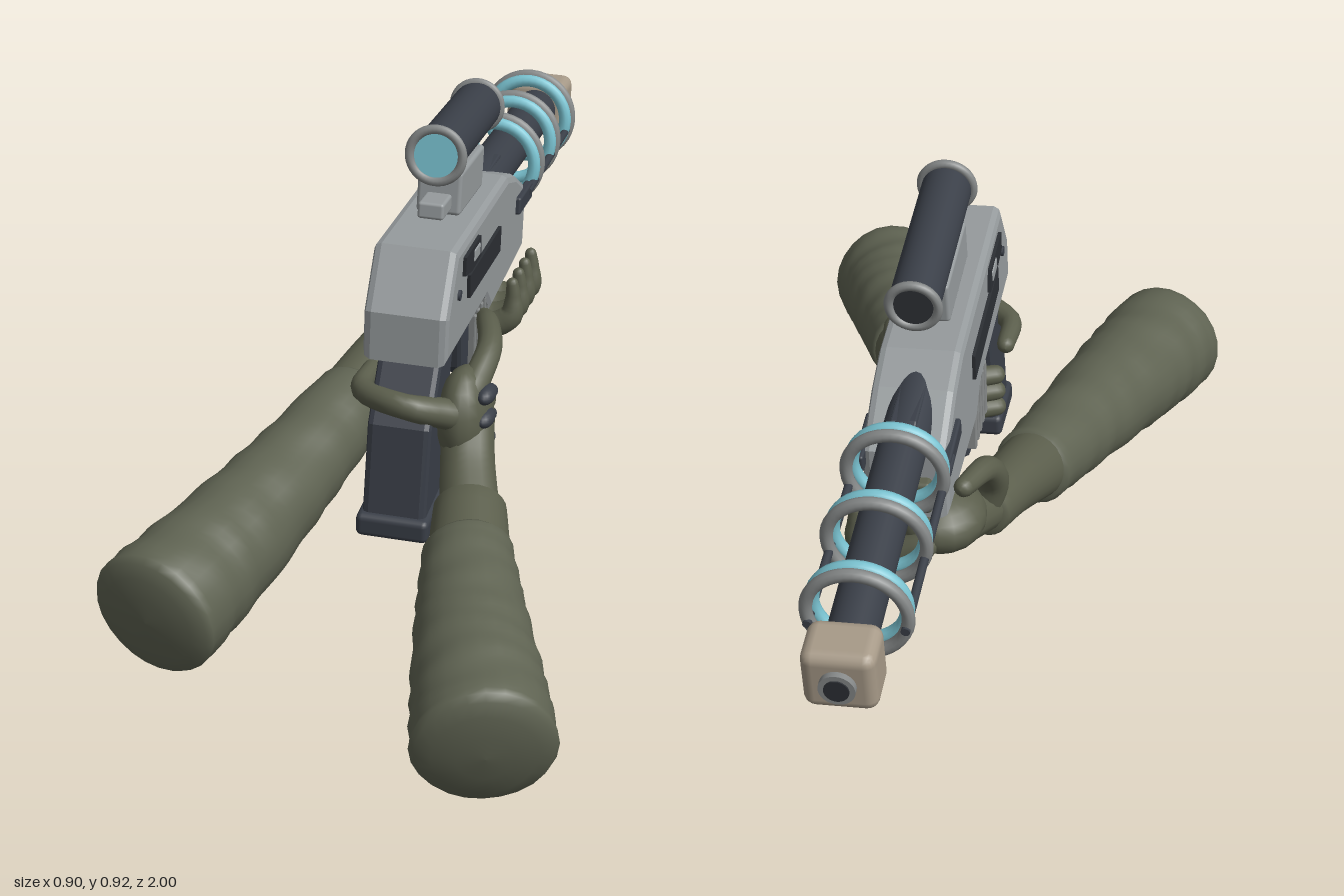
import * as THREE from 'three';
import { RoundedBoxGeometry } from 'three/addons/geometries/RoundedBoxGeometry.js';

const mat = (name, color) => {
  const m = new THREE.MeshStandardMaterial({ color });
  m.name = name;
  return m;
};
const V = (p) => new THREE.Vector3(...p);

export function createModel() {
  const casing = mat('casing grey', 0x969b9d);
  const ringGrey = mat('ring grey', 0x858888);
  const dark = mat('dark blue grey', 0x3a3f48);
  const black = mat('panel black', 0x2c2f34);
  const cyan = mat('cyan', 0x7ac3d1);
  const tan = mat('tan', 0xa79a88);
  const sleeve = mat('sleeve olive', 0x5f6352);
  const glove = mat('glove olive', 0x5b5e4c);

  const model = new THREE.Group();
  const gun = new THREE.Group();
  gun.name = 'gun';
  gun.position.x = -0.004;
  gun.rotation.set(0, 0.042, -0.04);
  model.add(gun);

  const add = (parent, name, geo, material, pos = [0, 0, 0], pitch = 0) => {
    const m = new THREE.Mesh(geo, material);
    m.name = name;
    m.position.set(...pos);
    m.rotation.x = pitch;
    parent.add(m);
    return m;
  };

  // Side profile of [z, y] points, extruded symmetrically across x
  const slab = (name, pts, width, bevel, material, x = 0) => {
    const shape = new THREE.Shape(pts.map(([z, y]) => new THREE.Vector2(z, y)));
    const depth = width - 2 * bevel;
    const g = new THREE.ExtrudeGeometry(shape, {
      depth, bevelEnabled: bevel > 0, bevelSize: bevel, bevelThickness: bevel,
      bevelOffset: -bevel, bevelSegments: 2,
    });
    g.translate(0, 0, -depth / 2).rotateY(-Math.PI / 2);
    return add(gun, name, g, material, [x, 0, 0]);
  };
  const box = (name, w, h, d, r, material, pos, pitch = 0) =>
    add(gun, name, new RoundedBoxGeometry(w, h, d, 2, r), material, pos, pitch);

  // Cylinder between two points
  const rod = (name, a, b, r, material, open = false) => {
    const d = V(b).sub(V(a));
    const m = add(gun, name, new THREE.CylinderGeometry(r, r, d.length(), 28, 1, open), material);
    m.position.copy(V(a)).addScaledVector(d, 0.5);
    m.quaternion.setFromUnitVectors(new THREE.Vector3(0, 1, 0), d.normalize());
    return m;
  };
  const PITCH = -0.092; // the barrel dips toward -z
  const ring = (name, R, r, material, pos) =>
    add(gun, name, new THREE.TorusGeometry(R, r, 10, 40), material, pos, PITCH);

  // Receiver
  slab('receiver', [[0.367, 0.635], [0.297, 0.742], [-0.174, 0.71], [-0.26, 0.68], [-0.375, 0.615],
    [-0.375, 0.475], [-0.05, 0.473], [0.0, 0.52], [0.367, 0.54]], 0.158, 0.015, casing);
  for (const s of [-1, 1]) {
    const side = s > 0 ? 'left' : 'right';
    slab(side + 'UpperPanel', [[0.25, 0.712], [0.12, 0.705], [0.11, 0.66], [0.19, 0.662], [0.25, 0.675]], 0.009, 0, black, s * 0.081);
    slab(side + 'LowerPanel', [[0.205, 0.658], [-0.085, 0.64], [-0.085, 0.588], [0.2, 0.61]], 0.009, 0, black, s * 0.081);
    box(side + 'Bolt', 0.014, 0.025, 0.05, 0.004, casing, [s * 0.081, 0.685, 0.155], PITCH);
    const pin = add(gun, side + 'Pin', new THREE.CylinderGeometry(0.01, 0.01, 0.006, 12), dark, [s * 0.081, 0.65, 0.28]);
    pin.rotation.z = Math.PI / 2;
    // Cage rods and their roots beside the barrel
    box(side + 'RodRoot', 0.018, 0.036, 0.13, 0.005, dark, [s * 0.08, 0.603, -0.33], PITCH);
    rod(side + 'CageRod', [s * 0.085, 0.605, -0.36], [s * 0.085, 0.575, -0.83], 0.008, dark);
  }

  // Barrel with coil rings
  rod('barrel', [0, 0.65, -0.2], [0, 0.582, -0.9], 0.045, dark);
  slab('barrelRib', [[-0.24, 0.685], [-0.36, 0.678], [-0.42, 0.65], [-0.42, 0.6], [-0.24, 0.61]], 0.05, 0.004, dark);
  [-0.43, -0.61, -0.79].forEach((z, i) => {
    const y = 0.631 + (z + 0.43) * 0.09;
    ring('cyanCoil' + i, 0.083, 0.013, cyan, [0, y, z]);
    ring('greyCoil' + i, 0.089, 0.012, ringGrey, [0, y - 0.002, z - 0.026]);
  });
  box('muzzleBlock', 0.13, 0.122, 0.1, 0.022, tan, [0, 0.582, -0.933], PITCH);
  rod('muzzleTip', [0, 0.579, -0.97], [0, 0.577, -0.995], 0.032, ringGrey);
  rod('muzzleBore', [0, 0.578, -0.98], [0, 0.577, -0.998], 0.022, black);

  // Scope
  rod('scopeTube', [0, 0.866, 0.15], [0, 0.832, -0.215], 0.048, dark);
  const scopeEnds = [[0.155, 0.867, 0.05], [-0.218, 0.832, 0.046]];
  scopeEnds.forEach(([z, y, R], i) => ring('scopeRim' + i, R, 0.009, ringGrey, [0, y, z]));
  rod('scopeLens', [0, 0.866, 0.148], [0, 0.867, 0.156], 0.045, cyan);
  rod('scopeEyepiece', [0, 0.832, -0.214], [0, 0.832, -0.218], 0.042, black);
  box('scopeMount', 0.085, 0.085, 0.21, 0.008, casing, [0, 0.768, 0.01], PITCH);
  box('scopeRail', 0.05, 0.032, 0.11, 0.006, casing, [0, 0.762, 0.13], PITCH);

  // Rear grip and its foot
  slab('grip', [[0.31, 0.54], [0.39, 0.42], [0.41, 0.23], [0.28, 0.22], [0.23, 0.42], [0.2, 0.54]], 0.12, 0.012, dark);
  box('gripFoot', 0.138, 0.046, 0.155, 0.012, dark, [0, 0.226, 0.345], 0.04);

  // Magazine with cooling fins
  slab('magazine', [[0.15, 0.53], [-0.05, 0.5], [-0.056, 0.385], [0.05, 0.38], [0.13, 0.43]], 0.125, 0.01, dark);
  for (let i = 0; i < 5; i++) {
    const z = 0.085 - i * 0.03;
    slab('magazineFin' + i, [[z, 0.52], [z - 0.013, 0.52], [z - 0.021, 0.405], [z - 0.008, 0.405]], 0.152, 0.003, ringGrey);
  }
  box('handguardTip', 0.1, 0.07, 0.045, 0.008, glove, [0, 0.53, -0.372], PITCH);

  // Rounded limb along points [x, y, z, radius]
  const limb = (parent, name, pts, material, dome = 1, wrinkle = 0, sides = 14) => {
    const curve = new THREE.CatmullRomCurve3(pts.map((p) => V(p.slice(0, 3))));
    const n = (pts.length - 1) * (wrinkle ? 12 : 5);
    const stations = [];
    const cap = (p, t, r, dir) => {
      const out = [];
      for (let k = 0; k < 4; k++) {
        const a = (k / 4) * Math.PI / 2;
        out.push([p.clone().addScaledVector(t, dir * r * dome * Math.cos(a)), t, Math.max(r * Math.sin(a), 1e-4)]);
      }
      return dir < 0 ? out : out.reverse();
    };
    for (let i = 0; i <= n; i++) {
      const u = i / n, f = u * (pts.length - 1), k = Math.min(Math.floor(f), pts.length - 2);
      const r = THREE.MathUtils.lerp(pts[k][3], pts[k + 1][3], f - k);
      stations.push([curve.getPoint(u), curve.getTangent(u), r]);
    }
    const a = stations[0], b = stations[n];
    const all = [...cap(a[0], a[1], a[2], -1), ...stations, ...cap(b[0], b[1], b[2], 1)];
    let side = Math.abs(a[1].y) > 0.8 ? new THREE.Vector3(1, 0, 0) : new THREE.Vector3(0, 1, 0);
    const pos = [], idx = [];
    all.forEach(([p, t, r], i) => {
      side = side.clone().addScaledVector(t, -side.dot(t)).normalize();
      const bin = t.clone().cross(side);
      for (let j = 0; j < sides; j++) {
        const th = (j / sides) * Math.PI * 2;
        const rr = r * (1 + wrinkle * Math.sin(i * 1.1 + 1.5 * Math.sin(th * 2 + i * 0.3)));
        const q = p.clone().addScaledVector(side, rr * Math.cos(th)).addScaledVector(bin, rr * Math.sin(th));
        pos.push(q.x, q.y, q.z);
        if (i === 0) continue;
        const j2 = (j + 1) % sides, lo = (i - 1) * sides, hi = i * sides;
        idx.push(lo + j, lo + j2, hi + j2, lo + j, hi + j2, hi + j);
      }
    });
    const g = new THREE.BufferGeometry();
    g.setAttribute('position', new THREE.Float32BufferAttribute(pos, 3));
    g.setIndex(idx);
    g.computeVertexNormals();
    return add(parent, name, g, material);
  };
  const blob = (parent, name, pos, scale, material) => {
    const m = add(parent, name, new THREE.SphereGeometry(1, 18, 12), material, pos);
    m.scale.set(...scale);
    return m;
  };

  // Trigger arm (+x)
  const triggerArm = new THREE.Group();
  triggerArm.name = 'triggerArm';
  model.add(triggerArm);
  limb(triggerArm, 'sleeve', [[0.333, 0.128, 0.94, 0.128], [0.285, 0.165, 0.8, 0.116], [0.235, 0.2, 0.65, 0.1],
    [0.19, 0.24, 0.5, 0.083]], sleeve, 0.25, 0.018, 24);
  limb(triggerArm, 'gloveCuff', [[0.2, 0.232, 0.53, 0.08], [0.168, 0.275, 0.4, 0.068]], glove, 0.15, 0, 24);
  limb(triggerArm, 'wrist', [[0.17, 0.275, 0.41, 0.056], [0.145, 0.33, 0.33, 0.052], [0.13, 0.39, 0.27, 0.05]], glove);
  blob(triggerArm, 'palm', [0.125, 0.4, 0.27], [0.052, 0.1, 0.085], glove);
  for (let i = 0; i < 4; i++) {
    const y = 0.455 - i * 0.044, dz = i * 0.008;
    if (i > 0) {
      limb(triggerArm, 'finger' + i, [[0.145, y, 0.26 + dz, 0.025], [0.135, y - 0.005, 0.175 + dz, 0.024],
        [0.07, y - 0.008, 0.15 + dz, 0.023], [-0.05, y - 0.005, 0.2 + dz, 0.02]], glove);
      blob(triggerArm, 'fingerPad' + i, [0.145, y - 0.002, 0.165 + dz], [0.018, 0.014, 0.022], dark);
    }
    blob(triggerArm, 'knucklePad' + i, [0.168, y, 0.28 + dz], [0.018, 0.017, 0.034], dark);
  }
  limb(triggerArm, 'indexFinger', [[0.14, 0.46, 0.28, 0.028], [0.15, 0.505, 0.19, 0.024], [0.125, 0.513, 0.1, 0.022],
    [0.1, 0.495, 0.03, 0.018]], glove);
  limb(triggerArm, 'thumb', [[0.11, 0.43, 0.33, 0.03], [0.04, 0.46, 0.38, 0.024], [-0.055, 0.46, 0.33, 0.022],
    [-0.065, 0.46, 0.24, 0.018]], glove);

  // Support arm (-x)
  const supportArm = new THREE.Group();
  supportArm.name = 'supportArm';
  model.add(supportArm);
  limb(supportArm, 'sleeve', [[-0.323, 0.175, 0.745, 0.126], [-0.27, 0.205, 0.55, 0.114], [-0.21, 0.25, 0.3, 0.094],
    [-0.157, 0.3, 0.06, 0.078]], sleeve, 0.25, 0.018, 24);
  limb(supportArm, 'gloveCuff', [[-0.163, 0.295, 0.09, 0.072], [-0.13, 0.345, -0.08, 0.058], [-0.11, 0.365, -0.19, 0.05]], glove, 0.2, 0, 24);
  limb(supportArm, 'wrist', [[-0.11, 0.365, -0.17, 0.045], [-0.08, 0.395, -0.26, 0.048]], glove);
  blob(supportArm, 'palm', [-0.045, 0.41, -0.275], [0.085, 0.06, 0.095], glove);
  for (let i = 0; i < 4; i++) {
    const z = -0.2 - i * 0.053;
    limb(supportArm, 'finger' + i, [[-0.03, 0.4, z, 0.026], [0.045, 0.37, z, 0.027], [0.095, 0.395, z - 0.004, 0.025],
      [0.1, 0.435, z - 0.006, 0.016], [0.098, 0.465, z - 0.006, 0.012]], glove);
  }
  limb(supportArm, 'thumb', [[-0.105, 0.38, -0.19, 0.036], [-0.128, 0.45, -0.2, 0.03], [-0.122, 0.51, -0.25, 0.025],
    [-0.1, 0.53, -0.34, 0.019]], glove);

  return model;
}
